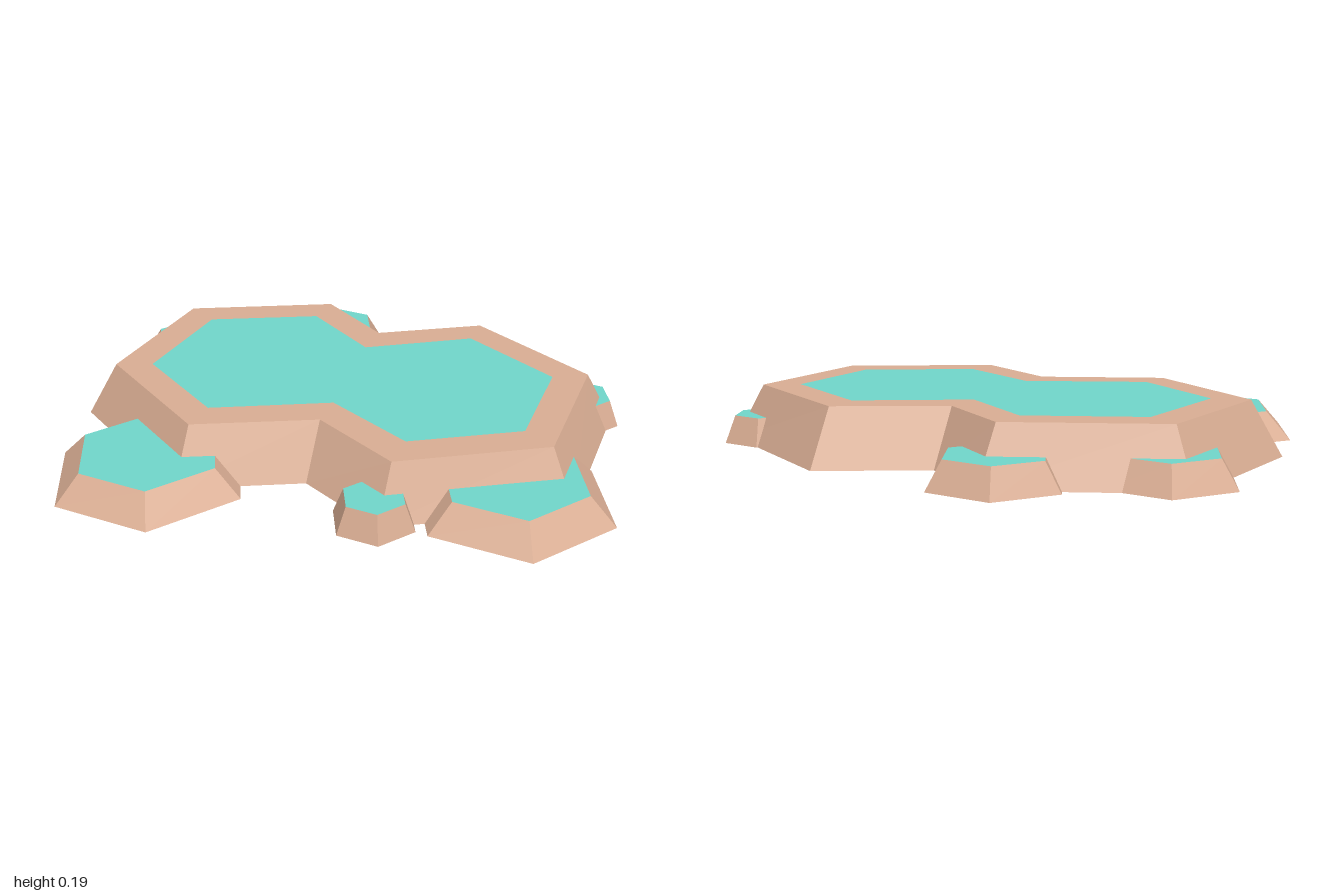
import * as THREE from 'three';

const rock = new THREE.MeshStandardMaterial({ color: 0xd9ad93 });
rock.name = 'rock';
const teal = new THREE.MeshStandardMaterial({ color: 0x70d6ca });
teal.name = 'teal';

// Triangles filling an outline of [x, z] points at height y, facing up or down
function cap(outline, y, up) {
  const pts = outline.map(([x, z]) => new THREE.Vector2(x, z));
  const out = [];
  for (const tri of THREE.ShapeUtils.triangulateShape(pts, [])) {
    const area = THREE.ShapeUtils.area(tri.map((i) => pts[i]));
    const order = (area < 0) === up ? tri : [...tri].reverse();
    for (const i of order) out.push(pts[i].x, y, pts[i].y);
  }
  return out;
}

// Sloping walls between a base outline and a top outline
function walls(base, top, h) {
  const out = [];
  base.forEach(([ax, az], i) => {
    const j = (i + 1) % base.length;
    const [bx, bz] = base[j], [cx, cz] = top[i], [dx, dz] = top[j];
    out.push(bx, 0, bz, ax, 0, az, cx, h, cz);
    out.push(bx, 0, bz, cx, h, cz, dx, h, dz);
  });
  return out;
}

function makeMesh(name, positions, material) {
  const geo = new THREE.BufferGeometry();
  geo.setAttribute('position', new THREE.Float32BufferAttribute(positions, 3));
  geo.computeVertexNormals();
  const mesh = new THREE.Mesh(geo, material);
  mesh.name = name;
  return mesh;
}

const hexagon = (x, z, r) => Array.from({ length: 6 }, (_, i) => {
  const a = (i * Math.PI) / 3;
  return [x + r * Math.cos(a), z + r * Math.sin(a)];
});

export function createModel() {
  const group = new THREE.Group();
  group.name = 'steppedPlateau';

  // Main plateau: two merged hexagons with sloping sides
  const H = 0.186;
  const base = [[-0.905, 0.235], [-0.905, -0.395], [-0.36, -0.71], [-0.095, -0.555], [0.215, -0.775],
    [0.785, -0.515], [0.848, 0.11], [0.33, 0.475], [0.01, 0.335], [-0.36, 0.55]];
  const rim = [[-0.815, 0.18], [-0.815, -0.342], [-0.36, -0.605], [-0.088, -0.45], [0.225, -0.67],
    [0.705, -0.457], [0.755, 0.07], [0.33, 0.375], [0.01, 0.23], [-0.36, 0.443]];
  group.add(makeMesh('plateauBody',
    [...walls(base, rim, H), ...cap(rim, H, true), ...cap(base, 0, false)], rock));

  // Teal surface inside the plateau rim
  const pool = [[-0.7, 0.125], [-0.7, -0.285], [-0.36, -0.48], [-0.08, -0.318], [0.235, -0.55],
    [0.6, -0.385], [0.64, 0.015], [0.32, 0.242], [0.0, 0.108], [-0.36, 0.32]];
  group.add(makeMesh('plateauSurface', cap(pool, H + 0.001, true), teal));

  // Lower hexagonal steps: name, x, z, base radius, top radius
  const h = 0.092;
  const steps = [
    ['backStep', -0.364, -0.612, 0.228, 0.172],
    ['frontRightStep', -0.477, 0.51, 0.341, 0.25],
    ['frontLeftStep', 0.658, 0.153, 0.342, 0.25],
    ['backRightStep', -0.77, -0.3, 0.23, 0.171],
    ['smallFrontStep', 0.303, 0.444, 0.142, 0.106],
    ['smallBackStep', 0.68, -0.477, 0.142, 0.106],
  ];
  for (const [name, x, z, r, rTop] of steps) {
    const low = hexagon(x, z, r), high = hexagon(x, z, rTop);
    const step = new THREE.Group();
    step.name = name;
    step.add(makeMesh(name + 'Body', [...walls(low, high, h), ...cap(low, 0, false)], rock));
    step.add(makeMesh(name + 'Surface', cap(high, h, true), teal));
    group.add(step);
  }
  return group;
}
